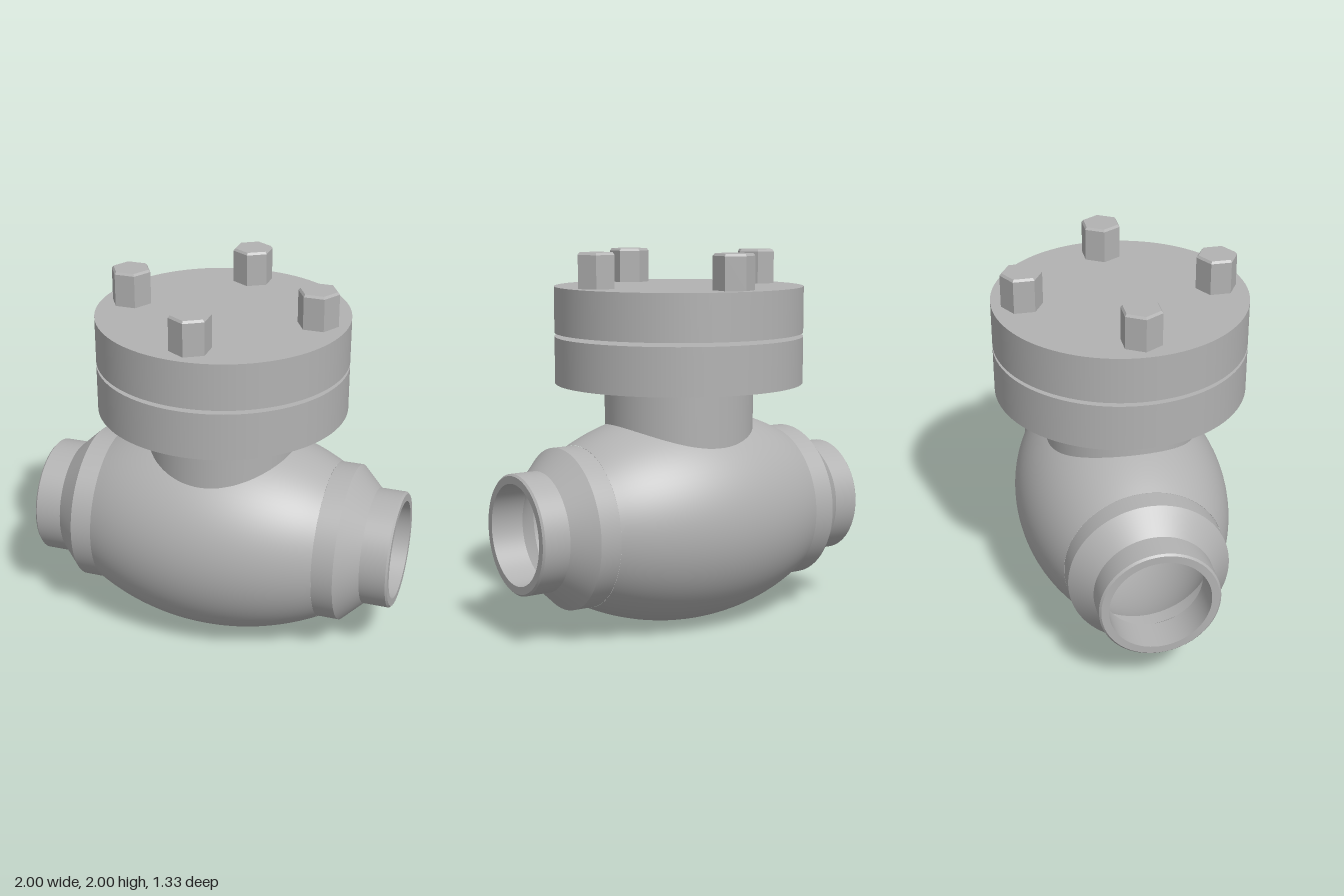
import * as THREE from 'three';
import { mergeGeometries } from 'three/addons/utils/BufferGeometryUtils.js';

const AXIS_Y = 0.576;

// Revolves each smooth run separately so the edges between runs stay sharp.
function revolve(runs, segments = 96) {
  return mergeGeometries(runs.map((run) =>
    new THREE.LatheGeometry(run.map(([r, y]) => new THREE.Vector2(r, y)), segments)));
}

// Straight runs joining consecutive profile points.
const edges = (pts) => pts.slice(1).map((p, i) => [pts[i], p]);

// Barrel curve: radius falls away from the middle along a circular arc.
function barrel(offset, from, to, steps = 32) {
  const R = 1.356;
  return Array.from({ length: steps + 1 }, (_, i) => {
    const y = from + (to - from) * i / steps;
    return [0.576 - offset - (R - Math.sqrt(R * R - y * y)), y];
  });
}

export function createModel() {
  const model = new THREE.Group();
  model.name = 'valve';
  const steel = new THREE.MeshStandardMaterial({ color: 0xb2b2b2 });
  steel.name = 'grey steel';

  const add = (name, geometry, x = 0, y = 0, z = 0) => {
    const mesh = new THREE.Mesh(geometry, steel);
    mesh.name = name;
    mesh.position.set(x, y, z);
    model.add(mesh);
    return mesh;
  };

  // Hollow body with shoulders and pipe ends, revolved about the x axis
  const outerEnd = [[0.425, 0.62], [0.425, 0.735], [0.315, 0.85], [0.315, 0.99], [0.305, 1], [0.265, 1]];
  const innerEnd = [[0.265, 1], [0.265, 0.82], [0.37, 0.7], [0.37, 0.62]];
  const flip = (pts) => pts.map(([r, y]) => [r, -y]).reverse();
  const body = add('body', revolve([
    ...edges(flip(outerEnd)),
    barrel(0, -0.62, 0.62),
    ...edges(outerEnd),
    ...edges(innerEnd),
    barrel(0.056, 0.62, -0.62),
    ...edges(flip(innerEnd)),
  ]), 0, AXIS_Y);
  body.rotation.z = -Math.PI / 2;

  // Neck, flanges and the parts between them
  const disc = (name, r, y0, y1) =>
    add(name, new THREE.CylinderGeometry(r, r, y1 - y0, 96), 0, (y0 + y1) / 2);
  add('neck', new THREE.CylinderGeometry(0.4, 0.4, 0.36, 96, 1, true), 0, 1.13);
  disc('plug', 0.36, 0.77, 1.3);
  disc('bodyFlange', 0.665, 1.3, 1.55);
  disc('gasket', 0.36, 1.55, 1.57);
  disc('cover', 0.665, 1.57, 1.815);

  // Four hexagonal bolts with a corner pointing outward and a chamfered top
  for (let i = 0; i < 4; i++) {
    const a = i * Math.PI / 2;
    const hex = revolve(edges([[0.108, 0], [0.108, 0.175], [0.098, 0.187], [0, 0.187]]), 6).toNonIndexed();
    hex.computeVertexNormals();
    const bolt = add('bolt', hex, 0.507 * Math.sin(a), 1.813, 0.507 * Math.cos(a));
    bolt.rotation.y = a;
  }
  return model;
}
